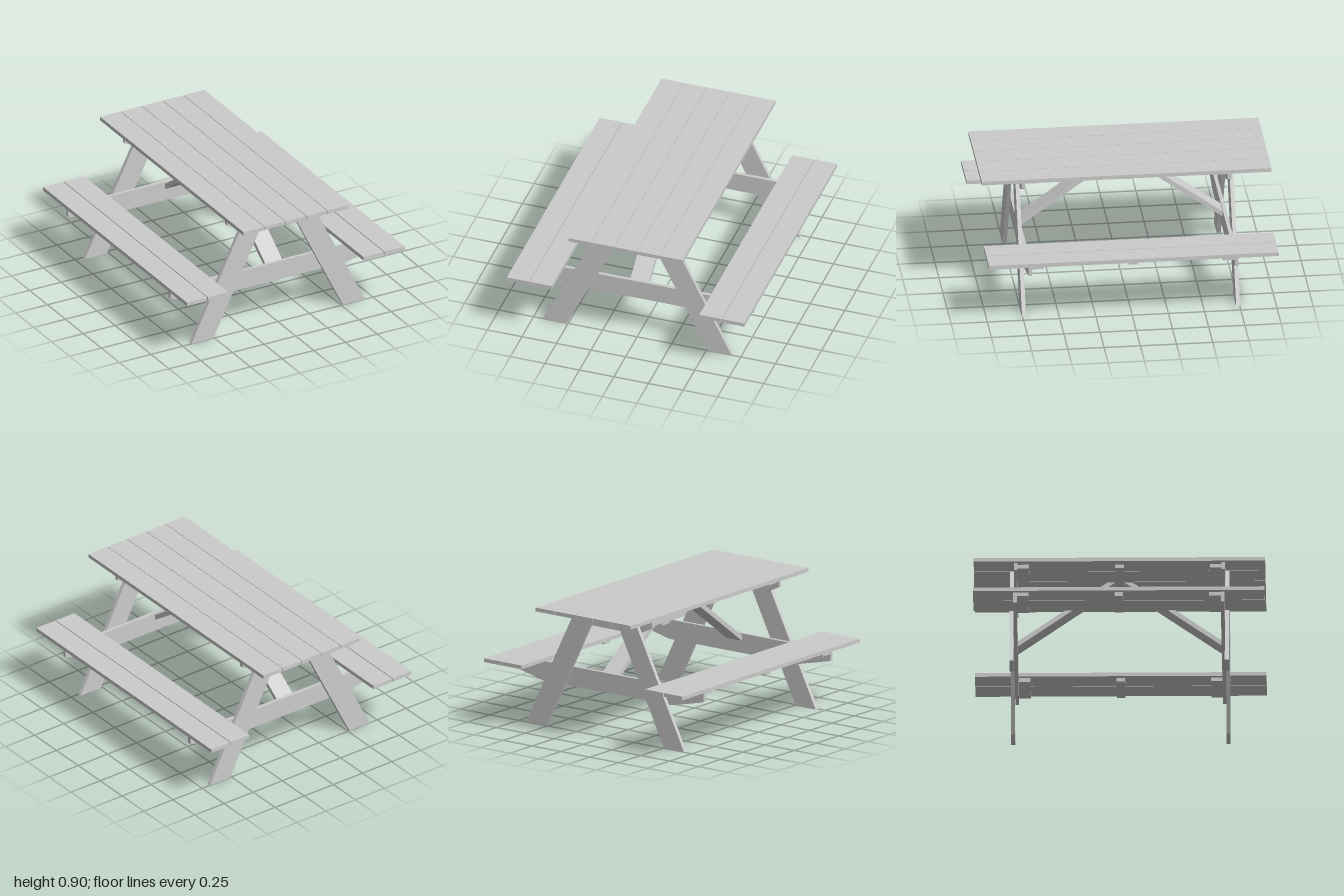
import * as THREE from 'three';

const wood = new THREE.MeshStandardMaterial({ color: 0xcccccc, flatShading: true });

export function createModel() {
  const table = new THREE.Group();
  table.name = 'picnicTable';

  function add(name, geometry) {
    const mesh = new THREE.Mesh(geometry, wood);
    mesh.name = name;
    table.add(mesh);
    return mesh;
  }

  // Box given by its limits on each axis
  function board(name, [x0, x1], [y0, y1], [z0, z1]) {
    const mesh = add(name, new THREE.BoxGeometry(x1 - x0, y1 - y0, z1 - z0));
    mesh.position.set((x0 + x1) / 2, (y0 + y1) / 2, (z0 + z1) / 2);
  }

  // Outline in the xy plane, extruded from z0 to z1
  function plate(points, z0, z1) {
    const shape = new THREE.Shape(points.map(([x, y]) => new THREE.Vector2(x, y)));
    return new THREE.ExtrudeGeometry(shape, { depth: z1 - z0, bevelEnabled: false }).translate(0, 0, z0);
  }

  // Half outline on +x (top to bottom), completed by its mirror image
  const mirrored = (half) => [...half, ...half.map(([x, y]) => [-x, y]).reverse()];

  const topY = 0.877, seatY = 0.447, thick = 0.027;

  // Table top planks
  for (let i = -2; i <= 2; i++) {
    const x = i * 0.1655;
    board('topPlank', [x - 0.081, x + 0.081], [topY, topY + thick], [-1, 1]);
  }

  // Seat planks
  for (const s of [-1, 1]) {
    for (const c of [0.6135, 0.779]) {
      board('seatPlank', [s * c - 0.08, s * c + 0.08], [seatY, seatY + thick], [-1, 1]);
    }
  }

  // Cleats under the top and the seats: one at each end and one in the middle
  for (const z of [[-0.7, -0.62], [-0.03, 0.03], [0.62, 0.7]]) {
    board('topCleat', [-0.36, 0.36], [topY - thick, topY], z);
    board('leftSeatCleat', [0.56, 0.83], [seatY - thick, seatY], z);
    board('rightSeatCleat', [-0.83, -0.56], [seatY - thick, seatY], z);
  }

  // End frames: splayed legs outside, tapered crossbeams inside
  const leg = [[0.08, topY], [0.25, topY], [0.685, 0], [0.512, 0]];
  const topBeam = mirrored([[0.387, topY], [0.387, 0.826], [0.26, 0.765]]);
  const seatBeam = mirrored([[0.832, seatY], [0.832, 0.372], [0.56, 0.309]]);
  // Brace profile: distance from the middle, height
  const brace = [[0.03, topY], [0.085, topY], [0.7, 0.434], [0.7, 0.395]];

  for (const s of [-1, 1]) {
    const span = (a, b) => (s > 0 ? [a, b] : [-b, -a]);
    add('leftLeg', plate(leg, ...span(0.725, 0.753)));
    add('rightLeg', plate(leg.map(([x, y]) => [-x, y]), ...span(0.725, 0.753)));
    add('topCrossbeam', plate(topBeam, ...span(0.7, 0.725)));
    add('seatCrossbeam', plate(seatBeam, ...span(0.7, 0.725)));

    // Diagonal brace from the seat crossbeam up to the middle of the top
    add('diagonalBrace', plate(brace, -0.067, 0.067).rotateY(-s * Math.PI / 2));
  }

  return table;
}
